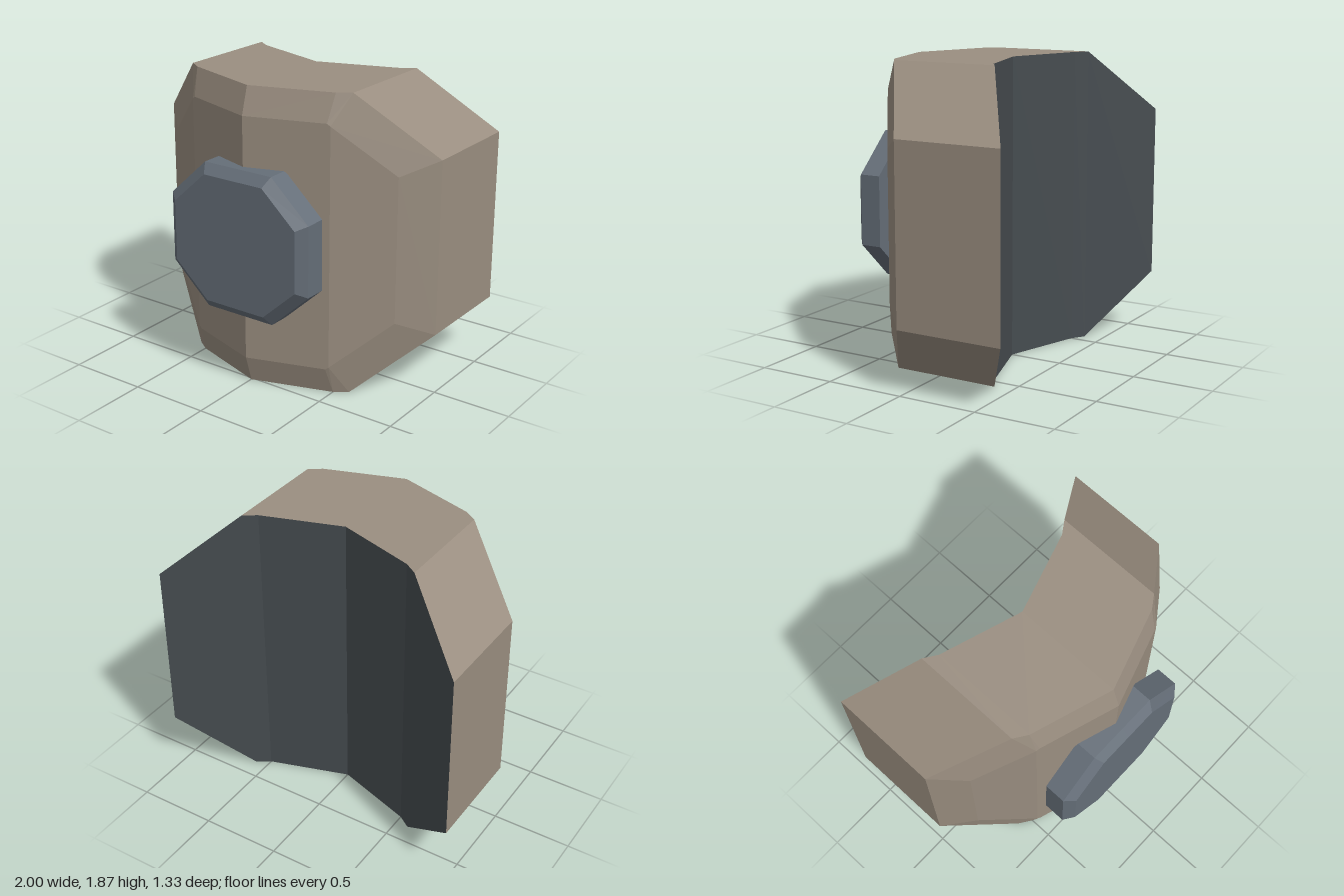
import * as THREE from 'three';

const stone = new THREE.MeshStandardMaterial({ color: 0x9a8e80 });
stone.name = 'warm stone';
const slate = new THREE.MeshStandardMaterial({ color: 0x656e78 });
slate.name = 'blue slate';
const lining = new THREE.MeshStandardMaterial({ color: 0x464c50 });
lining.name = 'dark lining';

const CENTER_Y = 0.935;

// Sweeps the armour back on both sides of its central ridge, with a second fold at x = 0.5
const bend = (x) => {
  const a = Math.abs(x);
  return -0.32 * Math.min(a, 0.5) - 0.68 * Math.max(a - 0.5, 0);
};
const flat = () => 0;

// Mirrors a quarter outline (starting on x = 0) into a full clockwise ring
function ring(quarter, z, rule) {
  const lower = quarter.map(([x, y]) => [x, -y]).reverse();
  const right = [...quarter, ...lower];
  const left = right.slice(1, -1).reverse().map(([x, y]) => [-x, y]);
  return [...right, ...left].map(([x, y]) => new THREE.Vector3(x, y + CENTER_Y, z + rule(x)));
}

function quadMesh(name, quads, material) {
  const points = quads.flatMap(([a, b, c, d]) => [a, b, c, a, c, d]);
  const geometry = new THREE.BufferGeometry().setFromPoints(points);
  geometry.computeVertexNormals();
  const mesh = new THREE.Mesh(geometry, material);
  mesh.name = name;
  return mesh;
}

// Wall between a front ring and the ring behind it
function wall(front, back) {
  return front.map((p, i) => {
    const j = (i + 1) % front.length;
    return [p, front[j], back[j], back[i]];
  });
}

// Closes a ring with vertical strips, so the cap follows the folds
function cap(points, facesBack = false) {
  const count = points.length;
  const n = (count + 2) / 4;
  const at = (i) => points[(i + count) % count];
  const quads = [];
  for (let i = 1 - n; i < n - 1; i++) {
    const quad = [at(i), at(2 * n - 1 - i), at(2 * n - 2 - i), at(i + 1)];
    quads.push(facesBack ? quad.reverse() : quad);
  }
  return quads;
}

export function createModel() {
  const group = new THREE.Group();
  group.name = 'armourPlate';

  // Folded octagonal shell with a chamfered front
  const outer = [[0, 0.935], [0.5, 0.935], [0.58, 0.935], [1, 0.545]];
  const inner = [[0, 0.765], [0.48, 0.765], [0.5, 0.75], [0.82, 0.455]];
  const face = ring(inner, 0.565, bend);
  const rim = ring(outer, 0.515, bend);
  const rear = ring(outer, -0.165, bend);
  group.add(quadMesh('shell', [...cap(face), ...wall(face, rim), ...wall(rim, rear)], stone));
  group.add(quadMesh('innerLining', cap(rear, true), lining));

  // Flat octagonal boss across the ridge
  const bossOuter = [[0, 0.46], [0.24, 0.46], [0.5, 0.22]];
  const bossInner = [[0, 0.4], [0.21, 0.4], [0.44, 0.19]];
  const bossFace = ring(bossInner, 0.665, flat);
  const bossRim = ring(bossOuter, 0.615, flat);
  const bossRear = ring(bossOuter, 0.48, flat);
  group.add(quadMesh('centralBoss', [
    ...cap(bossFace), ...wall(bossFace, bossRim), ...wall(bossRim, bossRear), ...cap(bossRear, true),
  ], slate));

  return group;
}
